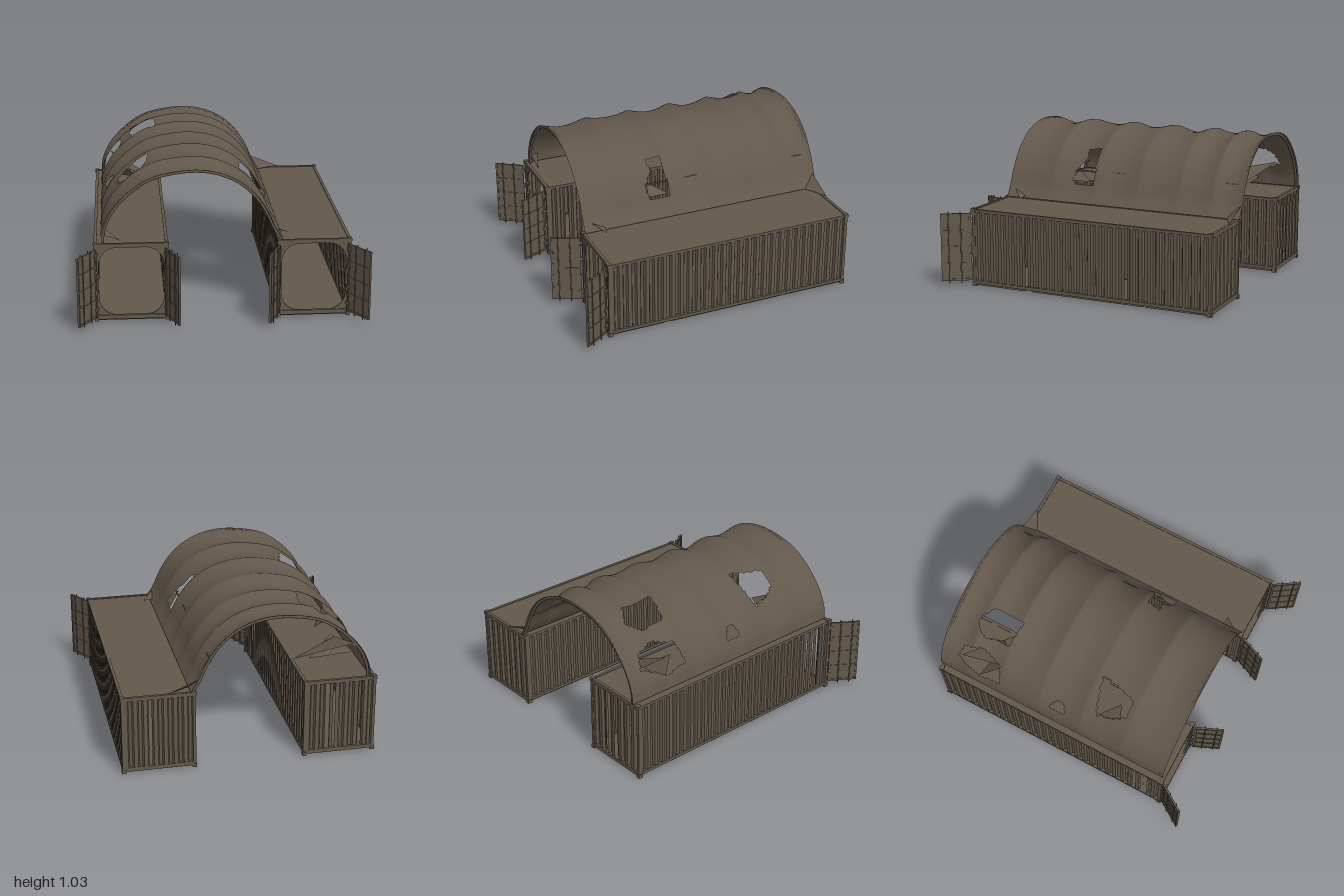
import * as THREE from 'three';

const steel = new THREE.MeshStandardMaterial({ color: 0x62574b });
steel.name = 'weathered brown';
const sheet = new THREE.MeshStandardMaterial({ color: 0x62574b, side: THREE.DoubleSide });
sheet.name = 'weathered brown sheet';

function add(parent, name, geometry, material = steel) {
  const mesh = new THREE.Mesh(geometry, material);
  mesh.name = name;
  parent.add(mesh);
  return mesh;
}

// Box given by its low and high corners
function box(parent, name, x0, x1, y0, y1, z0, z1) {
  const mesh = add(parent, name, new THREE.BoxGeometry(x1 - x0, y1 - y0, z1 - z0));
  mesh.position.set((x0 + x1) / 2, (y0 + y1) / 2, (z0 + z1) / 2);
  return mesh;
}

function surface(positions, index) {
  const g = new THREE.BufferGeometry();
  g.setAttribute('position', new THREE.Float32BufferAttribute(positions, 3));
  if (index) g.setIndex(index);
  g.computeVertexNormals();
  return g;
}

// Upright trapezoid corrugation along x; faces listed in gaps are torn away
function corrugated(length, y0, y1, gaps = []) {
  const ribs = Math.round(length / 0.062), pitch = length / ribs, depth = 0.017;
  const pts = [];
  for (let i = 0; i < ribs; i++) {
    const x = -length / 2 + i * pitch;
    pts.push([x, 0], [x + pitch * 0.4, 0], [x + pitch * 0.55, -depth], [x + pitch * 0.85, -depth]);
  }
  pts.push([length / 2, 0]);
  const p = [];
  for (let i = 0; i < pts.length - 1; i++) {
    if (gaps.includes(i)) continue;
    const [a, za] = pts[i], [b, zb] = pts[i + 1];
    p.push(a, y0, za, b, y0, zb, b, y1, zb, a, y0, za, b, y1, zb, a, y1, za);
  }
  return surface(p);
}

// Door leaf swinging from a hinge to a free edge
function door(parent, hx, hz, dx, dz) {
  const g = new THREE.Group();
  g.name = 'door';
  const w = Math.hypot(dx, dz);
  g.position.set(hx, 0, hz);
  g.rotation.y = Math.atan2(-dz, dx);
  box(g, 'doorPanel', 0.008, w - 0.008, 0.04, 0.5, -0.003, 0.003);
  for (const x of [0, w - 0.012]) box(g, 'doorStile', x, x + 0.012, 0.035, 0.51, -0.008, 0.008);
  for (const y of [0.035, 0.15, 0.265, 0.38, 0.495]) box(g, 'doorRib', 0, w, y, y + 0.014, -0.007, 0.007);
  for (const x of [w * 0.35, w * 0.75]) {
    for (const side of [-1, 1]) {
      const rod = add(g, 'lockingRod', new THREE.CylinderGeometry(0.004, 0.004, 0.5, 6));
      rod.position.set(x, 0.27, side * 0.009);
    }
  }
  for (const y of [0.08, 0.2, 0.34, 0.46]) box(g, 'hinge', -0.015, 0.02, y, y + 0.02, -0.008, 0.008);
  parent.add(g);
}

function container(name, cx, doors, gaps) {
  const g = new THREE.Group();
  g.name = name;
  g.position.x = cx;
  const W = 0.245, F = 0.78, B = -0.985;

  // Floor, raised skids and roof
  box(g, 'floor', -W + 0.01, W - 0.01, 0.022, 0.036, B + 0.01, F - 0.01);
  for (const [a, b] of [[0.38, 0.77], [-0.5, 0.33], [-0.96, -0.52]])
    box(g, 'underside', -W + 0.015, W - 0.015, 0.004, 0.024, a, b);
  box(g, 'roof', -W + 0.005, W - 0.005, 0.525, 0.536, B + 0.005, F - 0.005);

  // Frame rails, posts and corner blocks
  for (const s of [-1, 1]) {
    const x0 = s < 0 ? -W : W - 0.02, x1 = x0 + 0.02;
    box(g, 'topRail', x0, x1, 0.52, 0.54, B, F);
    box(g, 'bottomRail', x0, x1, 0.018, 0.04, B, F);
    for (const z of [B, F - 0.022]) {
      box(g, 'cornerPost', x0, x1, 0.02, 0.53, z, z + 0.022);
      for (const y of [0, 0.52]) box(g, 'cornerBlock', x0 - 0.004, x1 + 0.004, y, y + 0.026, z - 0.004, z + 0.028);
    }
  }
  for (const z of [B, F - 0.02]) {
    box(g, 'topCrossRail', -W, W, 0.516, 0.542, z, z + 0.02);
    box(g, 'bottomCrossRail', -W, W, 0.012, 0.04, z, z + 0.02);
  }

  // Front frame with a rounded opening
  const frame = new THREE.Shape([[-W, 0.02], [W, 0.02], [W, 0.53], [-W, 0.53]].map(p => new THREE.Vector2(...p)));
  const hole = new THREE.Path(), hw = 0.215, r = 0.12, lo = 0.04, hi = 0.512;
  hole.absarc(hw - r, hi - r, r, 0, Math.PI / 2);
  hole.absarc(-hw + r, hi - r, r, Math.PI / 2, Math.PI);
  hole.absarc(-hw + r, lo + r, r, Math.PI, Math.PI * 1.5);
  hole.absarc(hw - r, lo + r, r, Math.PI * 1.5, Math.PI * 2);
  frame.holes.push(hole);
  const front = add(g, 'frontFrame', new THREE.ExtrudeGeometry(frame, { depth: 0.01, bevelEnabled: false, curveSegments: 5 }));
  front.position.z = F - 0.018;

  // Corrugated side and back walls
  const len = F - B - 0.03, mid = (F + B) / 2;
  const right = add(g, 'sideWall', corrugated(len, 0.036, 0.525, gaps.plusX), sheet);
  right.rotation.y = Math.PI / 2;
  right.position.set(W - 0.003, 0, mid);
  const left = add(g, 'sideWall', corrugated(len, 0.036, 0.525, gaps.minusX), sheet);
  left.rotation.y = -Math.PI / 2;
  left.position.set(-W + 0.003, 0, mid);
  const back = add(g, 'backWall', corrugated(2 * W - 0.03, 0.036, 0.525, gaps.back), sheet);
  back.rotation.y = Math.PI;
  back.position.z = B + 0.003;

  for (const d of doors) door(g, d[0] - cx, d[1], d[2], d[3]);
  return g;
}

// Arch outline of the canopy, from its left foot to its right foot in the front view
const arch = new THREE.CatmullRomCurve3([
  [-0.81, 0.545], [-0.8, 0.63], [-0.74, 0.76], [-0.62, 0.89], [-0.48, 0.98], [-0.32, 1.02], [-0.15, 1.03],
  [0, 1.0], [0.12, 0.94], [0.22, 0.85], [0.3, 0.73], [0.35, 0.62], [0.395, 0.545],
].map(([x, y]) => new THREE.Vector3(x, y, 0)));

// Torn holes as x, z outlines seen in plan
const tears = [
  [[0.17, 0.13], [0.33, 0.12], [0.33, 0.26], [0.29, 0.28], [0.23, 0.21], [0.17, 0.23]],
  [[-0.71, 0.19], [-0.62, 0.16], [-0.48, 0.13], [-0.54, 0.39], [-0.64, 0.39], [-0.69, 0.3]],
  [[-0.6, -0.74], [-0.53, -0.82], [-0.41, -0.74], [-0.41, -0.52], [-0.59, -0.55]],
  [[-0.76, -0.87], [-0.7, -0.84], [-0.67, -0.72], [-0.71, -0.56], [-0.785, -0.53], [-0.8, -0.68]],
  [[-0.785, -0.15], [-0.74, -0.1], [-0.745, -0.04], [-0.78, -0.03]],
];
function inside(poly, x, z) {
  let hit = false;
  poly.forEach(([ax, az], i) => {
    const [bx, bz] = poly[(i + 1) % poly.length];
    if ((az > z) !== (bz > z) && x < ax + (z - az) * (bx - ax) / (bz - az)) hit = !hit;
  });
  return hit;
}

// Cloth stretched over hoops, sagging between them
function canopyGeometry() {
  const hoops = [-0.995, -0.78, -0.53, -0.22, 0.1, 0.43, 0.765], NU = 110, NZ = 144;
  const base = arch.getSpacedPoints(NU), pos = [], idx = [];
  for (let j = 0; j <= NZ; j++) {
    const z = -0.995 + 1.76 * j / NZ;
    const k = Math.min(5, Math.max(0, hoops.findIndex(h => h > z) - 1 + (j === NZ ? 7 : 0)));
    const t = (z - hoops[k]) / (hoops[k + 1] - hoops[k]);
    for (let i = 0; i <= NU; i++) {
      const u = i / NU, p = base[i];
      const sag = 0.032 * Math.sin(Math.PI * t) * Math.sin(Math.PI * u) ** 0.7 * (1 + 0.25 * Math.sin(9 * u + k * 2));
      const cx = -0.2, cy = 0.5, d = Math.hypot(p.x - cx, p.y - cy);
      pos.push(p.x - (p.x - cx) / d * sag, p.y - (p.y - cy) / d * sag, z);
      if (i === NU || j === NZ) continue;
      const mx = (p.x + base[i + 1].x) / 2, mz = z + 0.88 / NZ;
      if (tears.some(poly => inside(poly, mx, mz))) continue;
      const a = j * (NU + 1) + i, b = a + NU + 1;
      idx.push(a, b, a + 1, a + 1, b, b + 1);
    }
  }
  return surface(pos, idx);
}

export function createModel() {
  const model = new THREE.Group();
  model.name = 'containerShelter';

  model.add(container('leftBayContainer', -0.61,
    [[-0.845, 0.795, -0.115, 0.175], [-0.38, 0.795, 0.08, 0.185]],
    { plusX: [8, 17], minusX: [98, 102, 104], back: [8, 11, 13, 22] }));
  model.add(container('rightBayContainer', 0.605,
    [[0.37, 0.795, -0.08, 0.185], [0.835, 0.795, 0.115, 0.175]],
    { plusX: [25, 73], minusX: [98], back: [10] }));

  const canopy = new THREE.Group();
  canopy.name = 'canopy';
  model.add(canopy);
  add(canopy, 'canopyCloth', canopyGeometry(), sheet);

  // End hoops and a purlin under the cloth
  const inner = new THREE.CatmullRomCurve3(arch.getPoints(24).map(p =>
    new THREE.Vector3(-0.2 + (p.x + 0.2) * 0.975, 0.53 + (p.y - 0.53) * 0.975, 0)));
  for (const z of [-0.98, 0.75])
    add(canopy, 'endHoop', new THREE.TubeGeometry(inner, 40, 0.01, 6), steel).position.z = z;
  box(canopy, 'purlin', 0.255, 0.265, 0.745, 0.755, -0.98, 0.75);

  // Torn cloth hanging from the holes and feet
  const flaps = [
    [[-0.74, 0.73, -0.85], [-0.67, 0.68, -0.6], [-0.38, 0.548, -0.62]],
    [[-0.78, 0.6, -0.7], [-0.66, 0.68, -0.55], [-0.48, 0.56, -0.66]],
    [[-0.6, 0.88, -0.74], [-0.59, 0.89, -0.56], [-0.52, 0.77, -0.62]],
    [[-0.69, 0.8, 0.2], [-0.67, 0.82, 0.36], [-0.54, 0.76, 0.3]],
    [[0.33, 0.69, 0.13], [0.33, 0.69, 0.28], [0.24, 0.76, 0.26]],
    [[0.34, 0.63, -0.985], [0.395, 0.545, -0.9], [0.55, 0.545, -0.985]],
    [[0.37, 0.6, 0.71], [0.385, 0.56, 0.62], [0.45, 0.548, 0.63]],
    [[-0.81, 0.6, 0.74], [-0.78, 0.62, 0.7], [-0.68, 0.548, 0.73]],
  ];
  for (const f of flaps) add(canopy, 'tornFlap', surface(f.flat()), sheet);
  return model;
}
